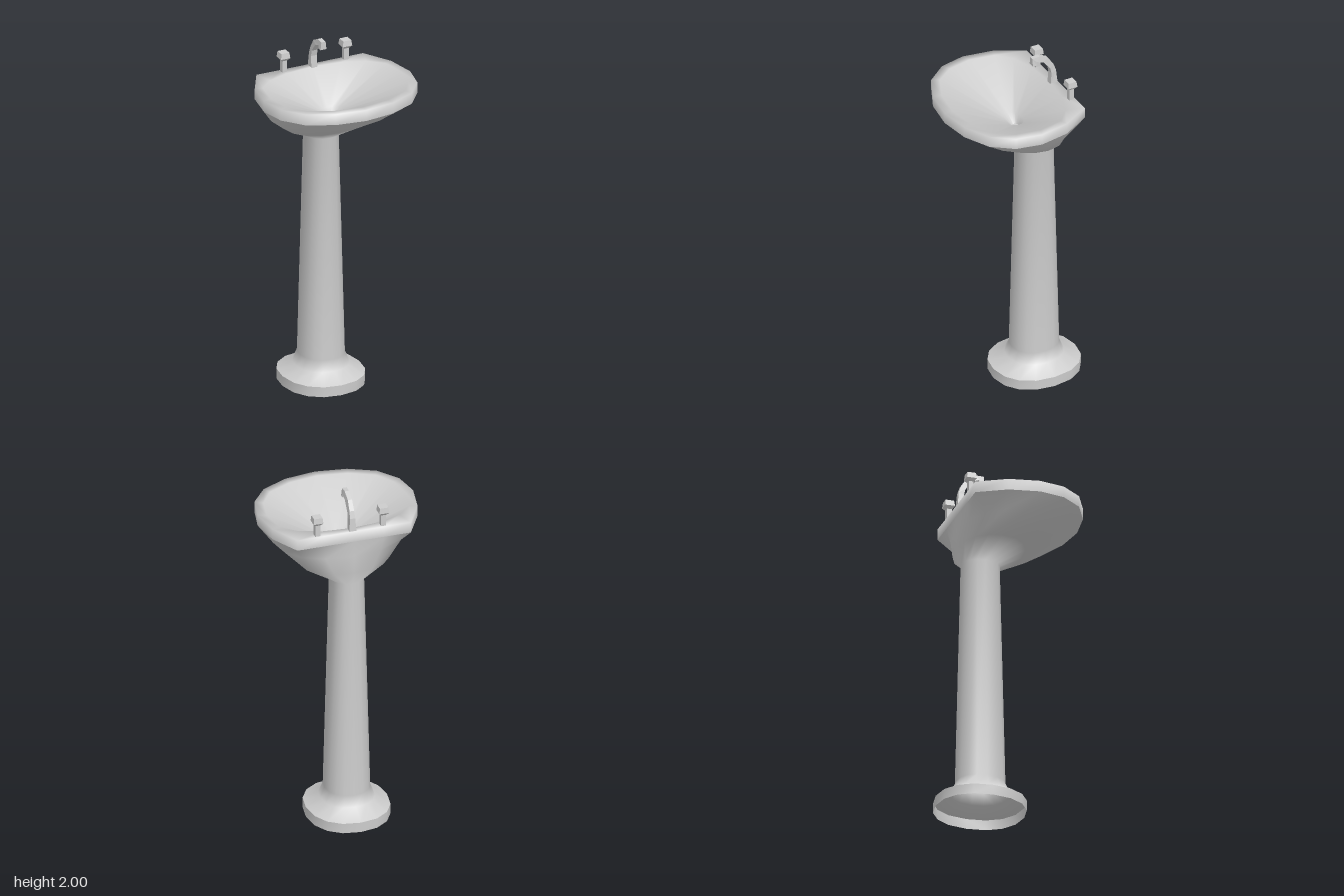
import * as THREE from 'three';

const SIDES = 16;

// Closed, slightly squared ellipse of 16 points, starting at the front (+z) and going towards +x
function ellipse(y, rx, rz, cz) {
  const soft = (v) => Math.sign(v) * Math.abs(v) ** 0.9;
  return Array.from({ length: SIDES }, (_, k) => {
    const a = (k / SIDES) * Math.PI * 2;
    return [soft(Math.sin(a)) * rx, y, cz + soft(Math.cos(a)) * rz];
  });
}

// Ring from the [x, z] points of its +x half, mirrored to the other side
function mirrored(y, half) {
  const left = half.slice(1, -1).reverse().map(([x, z]) => [-x, z]);
  return [...half, ...left].map(([x, z]) => [x, y, z]);
}

// Skin over rings, ordered bottom to top on the outside
function loft(rings, capped = false) {
  const n = rings[0].length;
  const index = [];
  for (let i = 0; i < rings.length - 1; i++) {
    for (let k = 0; k < n; k++) {
      const a = i * n + k, b = i * n + ((k + 1) % n);
      index.push(a, b, b + n, a, b + n, a + n);
    }
  }
  if (capped) {
    const last = (rings.length - 1) * n;
    for (let k = 1; k < n - 1; k++) {
      index.push(0, k + 1, k, last, last + k, last + k + 1);
    }
  }
  const geometry = new THREE.BufferGeometry();
  geometry.setAttribute('position', new THREE.Float32BufferAttribute(rings.flat(2), 3));
  geometry.setIndex(index);
  geometry.computeVertexNormals();
  return geometry;
}

// Capped loft with flat faces
function facetedLoft(rings) {
  const flat = loft(rings, true).toNonIndexed();
  flat.computeVertexNormals();
  return flat;
}

export function createModel() {
  const group = new THREE.Group();
  const ceramic = new THREE.MeshStandardMaterial({ name: 'greyCeramic', color: 0xcccccc, side: THREE.DoubleSide });

  const add = (name, geometry, parent = group) => {
    const mesh = new THREE.Mesh(geometry, ceramic);
    mesh.name = name;
    parent.add(mesh);
    return mesh;
  };

  // Basin outlines: outer edge with a straight back, and inner lip
  const outer = [[0, 0.402], [0.175, 0.377], [0.322, 0.306], [0.412, 0.19], [0.442, 0.045],
    [0.412, -0.125], [0.322, -0.285], [0.17, -0.285], [0, -0.285]];
  const lip = [[0, 0.355], [0.165, 0.33], [0.3, 0.265], [0.37, 0.165], [0.395, 0.03],
    [0.37, -0.11], [0.29, -0.185], [0.165, -0.23], [0, -0.245]];

  // Pedestal, open underneath, flowing into the underside of the basin
  add('footBand', loft([ellipse(0, 0.231, 0.252, -0.151), ellipse(0.058, 0.231, 0.252, -0.151)]));
  add('pedestalAndBasinUnderside', loft([
    ellipse(0.058, 0.231, 0.252, -0.151),
    ellipse(0.105, 0.15, 0.16, -0.15),
    ellipse(0.165, 0.125, 0.136, -0.15),
    ellipse(1.462, 0.092, 0.106, -0.15),
    ellipse(1.545, 0.25, 0.185, -0.1),
    ellipse(1.65, 0.37, 0.275, -0.01),
    mirrored(1.742, outer),
  ]));

  // Rim and bowl: the lip outline narrows in a cone to the drain well
  const drainZ = -0.035;
  const wellRing = lip.map(([x, z]) => [x * 0.17, drainZ + (z - drainZ) * 0.17]);
  add('rimAndBowl', loft([
    mirrored(1.742, outer),
    mirrored(1.805, outer),
    mirrored(1.805, lip),
    mirrored(1.635, wellRing),
    ellipse(1.585, 0.021, 0.018, drainZ),
  ]));
  const drain = add('drain', new THREE.CircleGeometry(0.021, SIDES));
  drain.rotation.x = -Math.PI / 2;
  drain.position.set(0, 1.584, drainZ);

  // Spout: four-sided sections, each [outer z, outer y, inner z, inner y, outer half width]
  const spout = [
    [-0.282, 1.8, -0.24, 1.8, 0.02],
    [-0.275, 1.88, -0.245, 1.87, 0.015],
    [-0.262, 1.92, -0.237, 1.905, 0.013],
    [-0.228, 1.972, -0.195, 1.957, 0.012],
    [-0.175, 1.998, -0.157, 1.97, 0.012],
    [-0.13, 1.995, -0.154, 1.95, 0.013],
    [-0.13, 1.95, -0.154, 1.949, 0.018],
  ].map(([oz, oy, iz, iy, w]) => [[-0.018, iy, iz], [0.018, iy, iz], [w, oy, oz], [-w, oy, oz]]);
  add('spout', facetedLoft(spout)).position.x = 0.006;

  // Square tap handles
  const square = (r, y) => [[-r, y, r], [r, y, r], [r, y, -r], [-r, y, -r]];
  for (const x of [-0.17, 0.204]) {
    const tap = new THREE.Group();
    tap.name = x < 0 ? 'rightTap' : 'leftTap';
    tap.position.set(x, 0, -0.262);
    add('tapStem', facetedLoft([square(0.014, 1.8), square(0.014, 1.885)]), tap);
    add('tapKnob', facetedLoft([square(0.015, 1.872), square(0.028, 1.888), square(0.024, 1.92)]), tap);
    group.add(tap);
  }

  return group;
}
